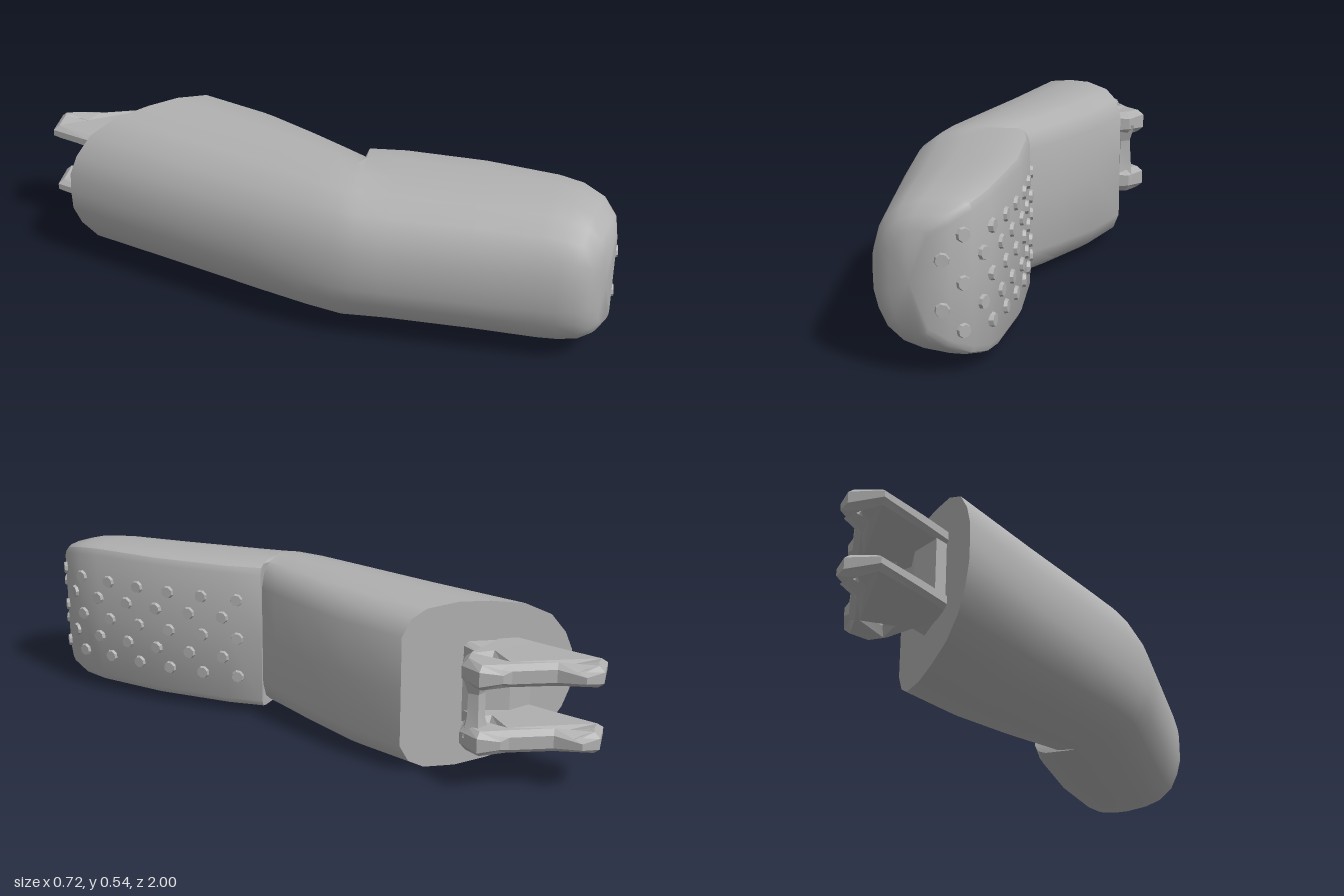
import * as THREE from 'three';
import { toCreasedNormals } from 'three/addons/utils/BufferGeometryUtils.js';

// Half cross-sections: [across 0..1, height 0..1], from the round back to the pad side
const ROUND = [[0, 0], [0.005, 0.24], [0.05, 0.47], [0.14, 0.71], [0.3, 0.885], [0.5, 0.965], [0.68, 1], [0.86, 0.965], [0.95, 0.86], [1, 0.66], [1, 0]];
const FLAT = [[0, 0], [0.005, 0.24], [0.05, 0.47], [0.14, 0.71], [0.3, 0.885], [0.5, 0.965], [0.76, 1], [0.91, 0.995], [0.97, 0.965], [1, 0.88], [1, 0]];

// Stations: back edge x,z; pad edge x,z; half height; middle height; profile
const STATIONS = [
  [-0.36, -0.74, 0.158, -0.47, 0.27, 0.271, ROUND],
  [-0.325, -0.35, 0.167, -0.25, 0.266, 0.272, ROUND],
  [-0.295, -0.02, 0.14, -0.04, 0.261, 0.273, ROUND],
  [-0.275, 0.16, 0.115, 0.1, 0.257, 0.274, ROUND],
  [-0.25, 0.27, 0.1, 0.175, 0.254, 0.274, ROUND],
  [-0.23, 0.34, 0.122, 0.158, 0.252, 0.274, FLAT],
  [-0.195, 0.42, 0.182, 0.26, 0.251, 0.275, FLAT],
  [-0.08, 0.67, 0.278, 0.5, 0.249, 0.275, FLAT],
  [0.005, 0.85, 0.336, 0.73, 0.246, 0.275, FLAT],
  [0.03, 0.905, 0.348, 0.81, 0.238, 0.275, FLAT],
  [0.058, 0.955, 0.337, 0.89, 0.218, 0.275, FLAT],
  [0.093, 0.985, 0.3, 0.95, 0.185, 0.275, FLAT],
  [0.135, 0.995, 0.25, 0.982, 0.145, 0.275, FLAT],
];

function loftBody() {
  const rings = STATIONS.map(([lx, lz, rx, rz, h, mid, profile]) => {
    const at = (u, v) => [lx + (rx - lx) * u, mid + h * v, lz + (rz - lz) * u];
    const top = profile.map(([u, v]) => at(u, v));
    const bottom = profile.slice(1, -1).reverse().map(([u, v]) => at(u, -v));
    return [...top, ...bottom];
  });
  const n = rings[0].length;
  const positions = rings.flat(2);
  const index = [];
  for (let i = 0; i < rings.length - 1; i++) {
    for (let j = 0; j < n; j++) {
      const a = i * n + j, b = i * n + (j + 1) % n;
      index.push(a, a + n, b, b, a + n, b + n);
    }
  }
  // Flat end caps
  [[0, false], [rings.length - 1, true]].forEach(([i, front]) => {
    const [lx, lz, rx, rz, , mid] = STATIONS[i];
    const centre = positions.length / 3;
    positions.push((lx + rx) / 2, mid, (lz + rz) / 2);
    for (let j = 0; j < n; j++) {
      const a = i * n + j, b = i * n + (j + 1) % n;
      index.push(centre, front ? b : a, front ? a : b);
    }
  });
  const geo = new THREE.BufferGeometry();
  geo.setAttribute('position', new THREE.Float32BufferAttribute(positions, 3));
  geo.setIndex(index);
  return toCreasedNormals(geo, 0.65);
}

// Point and outward normal on the pad surface at depth z
function padAt(z) {
  const edge = STATIONS.slice(5).map((s) => [s[2], s[3]]);
  let k = 0;
  while (k < edge.length - 2 && z > edge[k + 1][1]) k++;
  const [[x0, z0], [x1, z1]] = [edge[k], edge[k + 1]];
  const x = x0 + (x1 - x0) * (z - z0) / (z1 - z0);
  return { x, normal: new THREE.Vector3(z1 - z0, 0, x0 - x1).normalize() };
}

// Horizontal slab from an outline of x,z points
function slab(outline, holes, top, thickness) {
  const toPoints = (list) => list.map(([x, z]) => new THREE.Vector2(x, z));
  const shape = new THREE.Shape(toPoints(outline));
  holes.forEach((hole) => shape.holes.push(new THREE.Path(toPoints(hole))));
  const bevel = 0.018;
  const geo = new THREE.ExtrudeGeometry(shape, {
    depth: thickness - 2 * bevel, bevelEnabled: true, bevelSegments: 1,
    bevelThickness: bevel, bevelSize: bevel, bevelOffset: -bevel,
  });
  geo.rotateX(Math.PI / 2);
  geo.translate(0, top - bevel, 0);
  return geo;
}

// Rough-hewn prong: thickness varies along it, thinning to the tip
function prong(outline, holes, middle) {
  const geo = slab(outline, holes, middle + 0.04, 0.08);
  const p = geo.attributes.position;
  for (let i = 0; i < p.count; i++) {
    const x = p.getX(i), z = p.getZ(i);
    const wave = 0.8 + 0.25 * Math.sin(x * 43 + z * 31);
    const taper = THREE.MathUtils.clamp(1 + (z + 0.75) * 0.8, 0.75, 1.05);
    p.setY(i, middle + (p.getY(i) - middle) * wave * taper);
  }
  return toCreasedNormals(geo, 0.1);
}

export function createModel() {
  const model = new THREE.Group();
  const grey = new THREE.MeshStandardMaterial({ color: 0xb0b0b0 });
  grey.name = 'grey';
  const add = (name, geo, parent = model) => {
    const mesh = new THREE.Mesh(geo, grey);
    mesh.name = name;
    parent.add(mesh);
    return mesh;
  };

  add('bentBody', loftBody());

  // Staggered low studs on the pad
  const studs = new THREE.Group();
  studs.name = 'padStuds';
  model.add(studs);
  const studGeo = toCreasedNormals(new THREE.CylinderGeometry(0.019, 0.025, 0.02, 8), 0.3);
  const up = new THREE.Vector3(0, 1, 0);
  for (let column = 0; column < 14; column++) {
    const z = 0.23 + column * 0.0572 - (column % 2) * 0.012;
    const heights = column % 2 ? [0.2, 0.34] : [0.135, 0.27, 0.405];
    const { x, normal } = padAt(z);
    heights.forEach((y) => {
      const stud = add('stud', studGeo, studs);
      stud.position.set(x, y, z);
      stud.quaternion.setFromUnitVectors(up, normal);
    });
  }

  // Rough joint: two pierced prongs
  const joint = new THREE.Group();
  joint.name = 'joint';
  model.add(joint);
  const outline = [[-0.2, -0.6], [-0.215, -0.78], [-0.225, -0.95], [-0.13, -1], [-0.075, -0.975], [-0.05, -0.89],
    [0.05, -0.8], [0.08, -0.79], [0.13, -0.74], [0.11, -0.66], [0.05, -0.63], [-0.02, -0.61], [-0.03, -0.52]];
  const holes = [
    [[-0.13, -0.95], [-0.08, -0.935], [-0.075, -0.9], [-0.1, -0.91]],
    [[0.025, -0.75], [0.035, -0.675], [0.0, -0.69]],
  ];
  add('upperProng', prong(outline, holes, 0.378), joint);
  add('lowerProng', prong(outline, holes, 0.167), joint);

  // Upright web and post tying the prongs together
  const web = [[-0.19, -0.58], [-0.195, -0.7], [-0.1, -0.69], [-0.03, -0.63], [-0.02, -0.52]];
  add('jointWeb', slab(web, [], 0.38, 0.22), joint);
  const postProfile = [[0.045, -0.1], [0.03, -0.04], [0.028, 0.04], [0.05, 0.1]].map(([r, y]) => new THREE.Vector2(r, y));
  const post = add('jointPost', toCreasedNormals(new THREE.LatheGeometry(postProfile, 5), 0.2), joint);
  post.position.set(0.075, 0.272, -0.69);

  return model;
}
